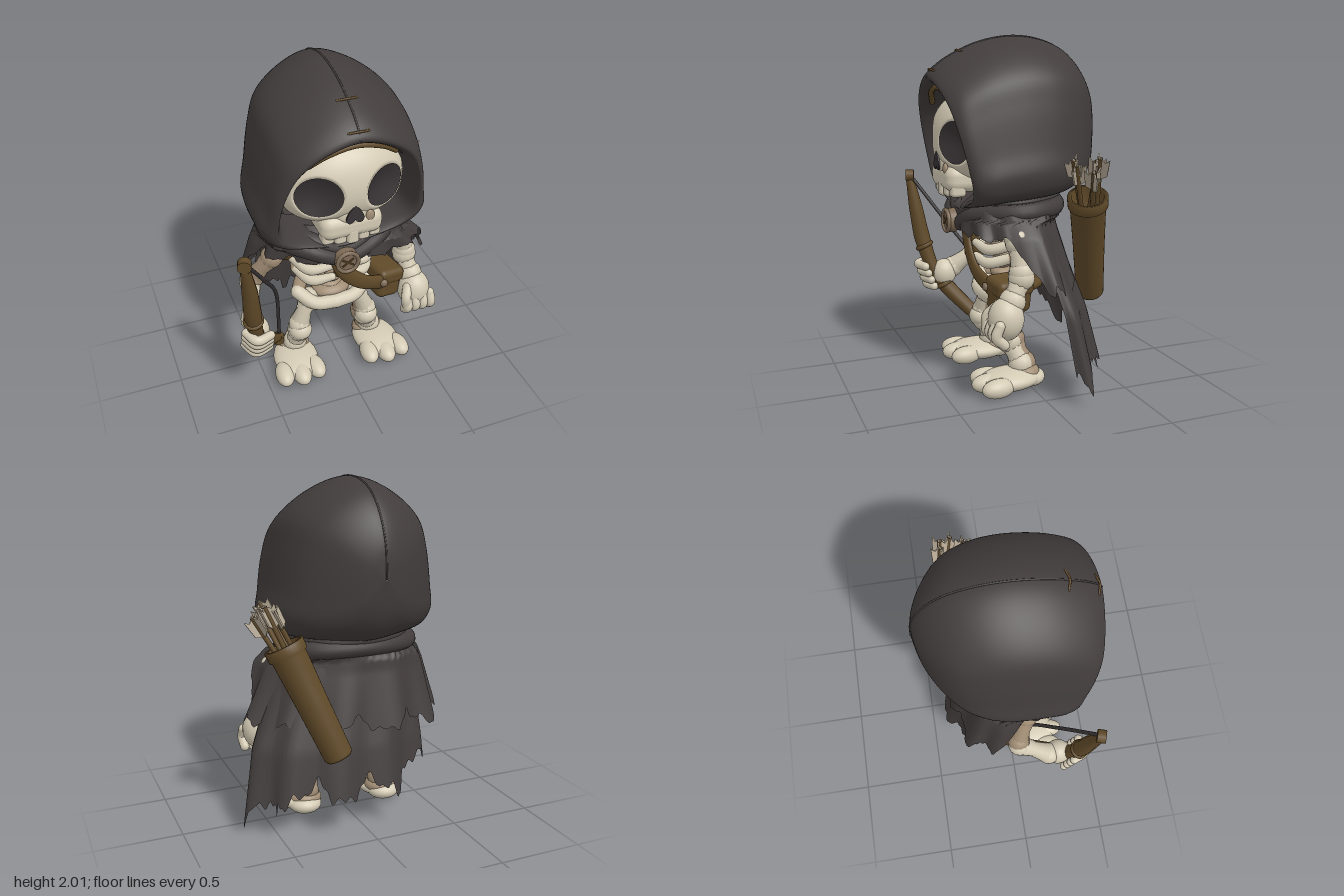
import * as THREE from 'three';
import { RoundedBoxGeometry } from 'three/addons/geometries/RoundedBoxGeometry.js';

const V = (x, y, z) => new THREE.Vector3(x, y, z);
const CX = -0.035; // centre line of head and body

export function createModel() {
  const root = new THREE.Group();
  const mat = (name, color, side = THREE.FrontSide) => {
    const m = new THREE.MeshStandardMaterial({ color, side });
    m.name = name;
    return m;
  };
  const cloth = mat('charcoal cloth', 0x423c3c, THREE.DoubleSide);
  const bone = mat('bone', 0xd3cab4);
  const oldBone = mat('shaded bone', 0xa08c74);
  const hollow = mat('hollow', 0x383334);
  const leather = mat('leather', 0x604a29);
  const metal = mat('dull clasp', 0x7c6955);
  const feather = mat('feather', 0xb3a692, THREE.DoubleSide);

  const add = (name, geo, m, pos = [0, 0, 0], scale = [1, 1, 1], rot = [0, 0, 0], parent = root) => {
    const o = new THREE.Mesh(geo, m);
    o.name = name;
    o.position.set(...pos);
    o.scale.set(...scale);
    o.rotation.set(...rot);
    parent.add(o);
    return o;
  };
  const ball = (name, m, pos, scale, rot) => add(name, new THREE.SphereGeometry(1, 24, 16), m, pos, scale, rot);

  // Round tube through points, with radii spread evenly along it and round ends
  function tube(name, m, pts, radii, closed = false) {
    const curve = new THREE.CatmullRomCurve3(pts.map(p => V(...p)), closed);
    const n = pts.length * 8, k = 12;
    const geo = new THREE.TubeGeometry(curve, n, 1, k, closed);
    const p = geo.attributes.position, v = V(0, 0, 0);
    for (let i = 0; i <= n; i++) {
      const f = (i / n) * (radii.length - 1), a = Math.min(Math.floor(f), Math.max(0, radii.length - 2));
      const r = radii.length > 1 ? THREE.MathUtils.lerp(radii[a], radii[a + 1], f - a) : radii[0];
      const c = curve.getPointAt(i / n);
      for (let j = 0; j <= k; j++) {
        const q = i * (k + 1) + j;
        v.fromBufferAttribute(p, q).sub(c).multiplyScalar(r).add(c);
        p.setXYZ(q, v.x, v.y, v.z);
      }
    }
    const o = add(name, geo, m);
    if (!closed) {
      [[pts[0], radii[0]], [pts[pts.length - 1], radii[radii.length - 1]]].forEach(([e, r]) =>
        add(name + 'End', new THREE.SphereGeometry(r, 12, 10), m, e));
    }
    return o;
  }
  const limb = (name, a, b, r, m = bone) => {
    const mid = a.map((s, i) => (s + b[i]) / 2);
    return tube(name, m, [a, mid, b], [r * 1.35, r * 1.1, r * 0.95, r * 1.1, r * 1.35]);
  };

  // Surface through rows of points
  function sheet(rows, closed) {
    const w = rows[0].length, pos = [], idx = [];
    rows.forEach(r => r.forEach(p => pos.push(p.x, p.y, p.z)));
    for (let i = 0; i < rows.length - 1; i++) {
      for (let j = 0; j < (closed ? w : w - 1); j++) {
        const a = i * w + j, b = i * w + (j + 1) % w;
        idx.push(a, b, a + w, b, b + w, a + w);
      }
    }
    const g = new THREE.BufferGeometry();
    g.setAttribute('position', new THREE.Float32BufferAttribute(pos, 3));
    g.setIndex(idx);
    g.computeVertexNormals();
    return g;
  }

  // Hood: pointed outer outline blended with a rounder face opening
  const outline = half => new THREE.CatmullRomCurve3([
    ...half.map(([x, y]) => V(x, y, 0)),
    ...half.slice(1, -1).reverse().map(([x, y]) => V(-x, y, 0))], true).getPoints(96).slice(0, 96);
  const outer = outline([[0, 1], [.38, .87], [.74, .55], [.85, .2], [.94, -.3], [1, -.62], [.9, -.84], [.5, -.96], [0, -1]]);
  const inner = outline([[0, 1], [.4, .88], [.75, .6], [.93, .2], [1, -.3], [.95, -.6], [.75, -.76], [.4, -.89], [0, -1]]);
  // half width, top, bottom, z at top, z at bottom, share of outer outline
  const sections = [
    [.36, 1.69, 1.09, .28, .10, 0], [.385, 1.73, 1.04, .45, .28, 0], [.41, 1.77, 1.02, .5, .33, .15],
    [.45, 1.83, 1.03, .455, .33, .6], [.48, 1.91, 1.05, .33, .27, 1], [.49, 1.97, 1.06, .18, .17, 1],
    [.49, 2.0, 1.07, 0, .02, 1], [.465, 1.985, 1.08, -.16, -.13, .9], [.405, 1.93, 1.1, -.3, -.25, .7],
    [.28, 1.82, 1.15, -.41, -.37, .5], [.13, 1.67, 1.27, -.48, -.46, .3], [.005, 1.49, 1.48, -.5, -.5, .3]];
  const rings = sections.map(([w, t, b, zt, zb, s]) => outer.map((o, j) => {
    const p = inner[j].clone().lerp(o, s);
    return V(CX + p.x * w, (t + b) / 2 + p.y * (t - b) / 2, (zt + zb) / 2 + p.y * (zt - zb) / 2);
  }));
  const columns = outer.map((_, j) => new THREE.CatmullRomCurve3(rings.map(r => r[j])).getPoints(55));
  add('hood', sheet(columns[0].map((_, i) => columns.map(c => c[i])), true), cloth);
  tube('hoodSeam', cloth, sections.slice(2).map(s => [CX, s[1], s[3]]), [.005]);
  [[1.915, .32], [1.81, .48]].forEach(([y, z]) =>
    tube('hoodStitch', leather, [[CX - .055, y - .005, z - .01], [CX, y + .005, z + .005], [CX + .055, y - .005, z - .01]], [.006]));
  tube('hoodLining', leather, [[CX - .24, 1.62, .40], [CX - .15, 1.68, .43], [CX, 1.715, .44], [CX + .15, 1.68, .43], [CX + .24, 1.62, .40]], [.016]);

  // Skull: flattened egg, squarer at the cheeks, with two shallow eye hollows
  const SY = 1.42, RX = .36, EX = .185;
  const ry = y => (y < 0 ? .235 : .285), power = y => (y < 0 ? 2.7 : 2.1);
  const faceZ = (x, y) => {
    const n = power(y), rho = Math.pow(Math.abs(x / RX) ** n + Math.abs(y / ry(y)) ** n, 1 / n);
    const d = Math.hypot(Math.abs(x) - EX, y) / .13;
    return .1 + .36 * Math.pow(Math.max(0, 1 - rho * rho), .3) - (d < 1 ? .065 * (1 - d * d) : 0);
  };
  const skullPart = (name, m, from, to, rows) => {
    const g = new THREE.SphereGeometry(1, 128, rows, 0, Math.PI * 2, from, to - from).rotateX(Math.PI / 2);
    const p = g.attributes.position;
    for (let i = 0; i < p.count; i++) {
      const x = p.getX(i), y = p.getY(i), z = p.getZ(i), rho = Math.hypot(x, y), n = power(y);
      const f = rho > 1e-6 ? rho / Math.pow(Math.abs(x) ** n + Math.abs(y) ** n, 1 / n) : 1;
      const X = x * f * RX, Y = y * f * ry(y);
      p.setXYZ(i, X, Y, z > .001 ? faceZ(X, Y) : .1 + z * .3);
    }
    g.computeVertexNormals();
    add(name, g, m, [CX, SY, 0]);
  };
  skullPart('face', bone, 0, 1.28, 70);
  skullPart('skullBack', oldBone, 1.28, Math.PI, 40);
  [-1, 1].forEach(s => {
    const eye = new THREE.RingGeometry(.001, .12, 40, 10), p = eye.attributes.position;
    for (let i = 0; i < p.count; i++) {
      const x = p.getX(i) + s * EX, y = p.getY(i);
      p.setXYZ(i, x, y, faceZ(x, y) + .007);
    }
    eye.computeVertexNormals();
    add('eyeSocket', eye, hollow, [CX, SY, 0]);
  });
  const nose = new THREE.Shape();
  nose.moveTo(0, .055);
  nose.bezierCurveTo(.03, .03, .055, -.01, .05, -.035);
  nose.bezierCurveTo(.04, -.065, .01, -.055, 0, -.03);
  nose.bezierCurveTo(-.01, -.055, -.04, -.065, -.05, -.035);
  nose.bezierCurveTo(-.055, -.01, -.03, .03, 0, .055);
  add('noseHole', new THREE.ExtrudeGeometry(nose, { depth: .009, bevelEnabled: false }), hollow, [CX, 1.305, .444]);
  ball('muzzle', bone, [CX, 1.28, .325], [.13, .13, .12]);
  add('upperJaw', new RoundedBoxGeometry(.36, .15, .26, 4, .06), bone, [CX, 1.21, .31]);
  ball('cheekChip', oldBone, [.06, 1.265, .428], [.025, .035, .014]);
  for (let i = 0; i < 5; i++) {
    const d = Math.abs(i - 2);
    add('tooth', new RoundedBoxGeometry(.072, .1, .09, 3, .022), bone, [CX + (i - 2) * .067, 1.152 + d * .004, .395 - d * .012]);
  }

  // Tattered cloak: a shoulder cape and a longer back panel
  const step = THREE.MathUtils.smoothstep, lerp = THREE.MathUtils.lerp;
  const tri = x => Math.abs((x - Math.floor(x)) * 2 - 1);
  const jag = a => .55 * tri(a * 1.6) + .3 * tri(a * 3.7 + .3) + .15 * tri(a * 8.3);
  function cloak(name, from, to, profile, shear, bottom) {
    const cols = 200, rows = 24, grid = [];
    for (let i = 0; i <= rows; i++) {
      const row = [];
      for (let j = 0; j <= cols; j++) {
        const a = lerp(from, to, j / cols), y = lerp(profile[0][0], bottom(a), i / rows);
        let k = 0;
        while (k < profile.length - 2 && y < profile[k + 1][0]) k++;
        const A = profile[k], B = profile[k + 1], t = (A[0] - y) / (A[0] - B[0]);
        const [, rx, rz, cx, cz] = A.map((s, q) => lerp(s, B[q], t));
        const fold = 1 + .05 * Math.sin(a * 11) * (i / rows);
        const sn = Math.sin(a), cs = Math.cos(a);
        const square = cs > 0 ? .75 : 1; // fuller over the front of the shoulders
        const x = cx + rx * fold * Math.sign(sn) * Math.abs(sn) ** square;
        const z = cz + rz * fold * (cs > 0 ? cs ** square : cs * .82);
        row.push(V(x, y, z + shear * x * step(y, 1, .55) * -1 + shear * x));
      }
      grid.push(row);
    }
    add(name, sheet(grid, false), cloth);
  }
  // profile rows: y, x radius, z radius, x centre, z centre
  cloak('shoulderCape', .1, Math.PI * 2 - .1,
    [[1.12, .27, .24, CX, 0], [1.05, .4, .31, CX, .02], [.92, .48, .32, 0, .01], [.55, .6, .36, .06, -.06]], .15,
    a => {
      const side = Math.abs(Math.PI - a); // 0 at the back
      const front = step(side, 1.35, 1.9);
      return lerp(.54, .89, front) + jag(a) * lerp(.17, .06, front);
    });
  cloak('backPanel', 1.6, 4.65,
    [[1.05, .36, .26, CX, 0], [.8, .46, .28, .02, -.03], [.5, .53, .31, .08, -.1], [.05, .57, .35, .12, -.17]], .06,
    a => .05 + jag(a + .4) * .24 + .26 * step(a, 3.7, 4.6) + .1 * step(a, 2.3, 1.6));
  const neckLoop = (name, w, f, y, r) => tube(name, cloth, [[CX, y - .1, f], [CX + w * .55, y - .03, f - .03],
    [CX + w, y, .08], [CX + w * .8, y + .01, -.14], [CX, y + .02, -.23], [CX - w * .8, y + .01, -.14],
    [CX - w, y, .08], [CX - w * .55, y - .03, f - .03]], [r], true);
  neckLoop('outerFold', .38, .315, 1.04, .052);
  neckLoop('innerFold', .31, .3, 1.085, .045);
  add('clasp', new THREE.CylinderGeometry(.066, .072, .05, 28), metal, [-.05, .95, .37], [1, 1, 1], [Math.PI / 2, 0, 0]);
  add('claspRim', new THREE.TorusGeometry(.062, .012, 10, 28), metal, [-.05, .95, .395]);
  [-1, 1].forEach(s => add('claspCross', new THREE.BoxGeometry(.08, .009, .008), leather, [-.05, .95, .397], [1, 1, 1], [0, 0, s * .6]));

  // Spine, ribs and pelvis
  for (let i = 0; i < 9; i++) ball('vertebra', oldBone, [CX, .5 + i * .06, .06], [.075, .036, .065]);
  tube('breastbone', leather, [[CX, .93, .215], [CX, .83, .225], [CX, .74, .21]], [.035, .03, .03]);
  [-1, 1].forEach(s => {
    [.91, .83, .75].forEach((y, i) => {
      const w = .255 - i * .015;
      tube('ribBack', oldBone, [[CX, y + .03, -.03], [CX + s * w * .8, y + .03, -.02], [CX + s * w, y, .09]], [.024, .03, .032]);
      tube('rib', bone, [[CX + s * w, y, .09], [CX + s * w * .72, y - .03, .2], [CX + s * .05, y - .01, .235]], [.032, .034, .024]);
    });
    ball('shoulderBlade', leather, [CX + s * .26, .9, .07], [.08, .09, .05]);
    tube('hipBone', bone, [[CX, .49, .17], [CX + s * .13, .505, .16], [CX + s * .22, .57, .1]], [.045, .042, .042]);
    tube('hipCrest', oldBone, [[CX + s * .22, .57, .1], [CX + s * .15, .58, 0], [CX, .55, -.03]], [.04, .045, .04]);
  });
  ball('pelvisBase', oldBone, [CX, .53, .07], [.12, .05, .09]);

  // Legs and three-toed feet
  [[-1, -.19, -.25, -.285], [1, .13, .19, .26]].forEach(([s, hip, knee, foot]) => {
    limb('thigh', [hip, .5, .1], [knee, .32, .105], .05);
    limb('thighBack', [hip - s * .012, .49, .075], [knee - s * .012, .32, .08], .048, oldBone);
    ball('kneecap', bone, [knee, .285, .12], [.072, .065, .07]);
    limb('shin', [knee, .26, .095], [foot - s * .02, .13, .045], .055);
    limb('shinBack', [knee - s * .012, .27, .07], [foot - s * .032, .13, .02], .053, oldBone);
    ball('foot', bone, [foot, .062, .12], [.14, .062, .19], [0, s * .12, 0]);
    ball('heel', bone, [foot - s * .01, .055, 0], [.1, .055, .095]);
    ball('ankle', oldBone, [foot - s * .02, .085, .025], [.1, .055, .09]);
    for (let i = -1; i < 2; i++) {
      ball('toe', bone, [foot + s * .01 + i * .098, .055, .255 - Math.abs(i) * .025], [.06, .055, .1], [0, i * .15, 0]);
    }
  });

  // Free arm
  ball('shoulder', bone, [.39, .91, .13], [.075, .065, .07]);
  limb('upperArm', [.4, .89, .13], [.43, .73, .12], .052);
  limb('forearm', [.43, .7, .12], [.45, .58, .18], .055);
  ball('palm', bone, [.46, .49, .22], [.1, .12, .1]);
  for (let i = 0; i < 4; i++) {
    const x = .388 + i * .051;
    tube('finger', bone, [[x, .48, .285], [x, .42, .305], [x, .372, .26]], [.028, .031, .028]);
  }
  tube('thumb', bone, [[.4, .54, .26], [.375, .49, .3], [.38, .44, .3]], [.03]);

  // Bow arm
  limb('upperArm', [-.4, .86, .08], [-.5, .7, .02], .05, oldBone);
  limb('forearm', [-.52, .67, .02], [-.57, .53, .2], .05);
  ball('palm', bone, [-.56, .5, .26], [.075, .09, .08]);
  for (let i = 0; i < 4; i++) {
    const y = .43 + i * .045, z = .31 + i * .018;
    tube('finger', bone, [[-.645, y + .01, z - .02], [-.6, y, z + .055], [-.515, y - .005, z + .03]], [.026, .029, .026]);
  }

  // Bow
  tube('bow', leather, [[-.65, 1.12, .45], [-.625, .92, .42], [-.605, .7, .38], [-.57, .5, .31], [-.47, .3, .15], [-.36, .15, 0]],
    [.026, .044, .052, .042, .05, .044, .026]);
  [[-.65, 1.135, .45], [-.36, .14, 0]].forEach(p => add('bowTip', new THREE.CylinderGeometry(.038, .038, .05, 18), leather, p, [1, 1, 1], [Math.PI / 2, 0, .3]));
  [[-.605, .68, .375], [-.545, .43, .265]].forEach(p =>
    add('bowBand', new THREE.TorusGeometry(.045, .015, 10, 22), leather, p, [1, 1, 1], [Math.PI / 2 + .4, .2, 0]));
  tube('bowString', hollow, [[-.63, 1.11, .43], [-.5, .85, .26], [-.39, .6, .1], [-.35, .18, -.01]], [.011]);

  // Strap and belt pouch
  const strap = tube('strap', leather, [[-.07, .92, .68], [-.02, .79, .68], [.09, .68, .67], [.26, .6, .57]], [.05]);
  strap.scale.z = .4;
  root.children.filter(o => o.name === 'strapEnd').forEach(o => { o.scale.z = .4; o.position.z *= .4; });
  tube('rearStrap', leather, [[.29, .6, .12], [.22, .6, -.06], [.05, .62, -.12]], [.03]);
  add('pouch', new RoundedBoxGeometry(.16, .19, .22, 4, .04), leather, [.28, .565, .13], [1, 1, 1], [0, .2, -.15]);
  add('pouchFlap', new RoundedBoxGeometry(.18, .1, .235, 4, .035), leather, [.285, .625, .13], [1, 1, 1], [0, .2, -.15]);
  ball('pouchButton', metal, [.24, .615, .26], [.025, .025, .018]);

  // Quiver with arrows, built upright and tilted into place
  const quiver = new THREE.Group();
  quiver.name = 'quiver';
  const low = V(.2, .5, -.415), high = V(.46, 1.13, -.26), len = low.distanceTo(high);
  quiver.position.copy(low);
  quiver.quaternion.setFromUnitVectors(V(0, 1, 0), high.clone().sub(low).normalize());
  root.add(quiver);
  const profile = [[0, 0], [.072, 0], [.082, .015], [.09, len * .5], [.1, len - .07], [.112, len - .06], [.114, len], [.09, len], [.085, len - .15], [0, len - .16]];
  add('quiverCase', new THREE.LatheGeometry(profile.map(p => new THREE.Vector2(...p)), 32), leather, [0, 0, 0], [1, 1, 1], [0, 0, 0], quiver);
  const vane = new THREE.Shape([[0, 0], [.045, .03], [.054, .13], [.03, .11], [0, .14]].map(p => new THREE.Vector2(...p)));
  for (let i = 0; i < 5; i++) {
    const a = i * Math.PI * 2 / 5, arrow = new THREE.Group(), h = .2 + (i % 3) * .025;
    arrow.name = 'arrow';
    arrow.position.set(Math.cos(a) * .045, len - .12, Math.sin(a) * .045);
    arrow.rotation.set(Math.sin(a) * .12, a, -Math.cos(a) * .12);
    quiver.add(arrow);
    add('shaft', new THREE.CylinderGeometry(.014, .014, h + .13, 10), leather, [0, (h + .13) / 2, 0], [1, 1, 1], [0, 0, 0], arrow);
    for (let k = 0; k < 3; k++) {
      add('vane', new THREE.ExtrudeGeometry(vane, { depth: .009, bevelEnabled: false }), feather, [0, h, 0], [1, 1, 1], [0, k * Math.PI * 2 / 3, 0], arrow);
    }
  }
  return root;
}
